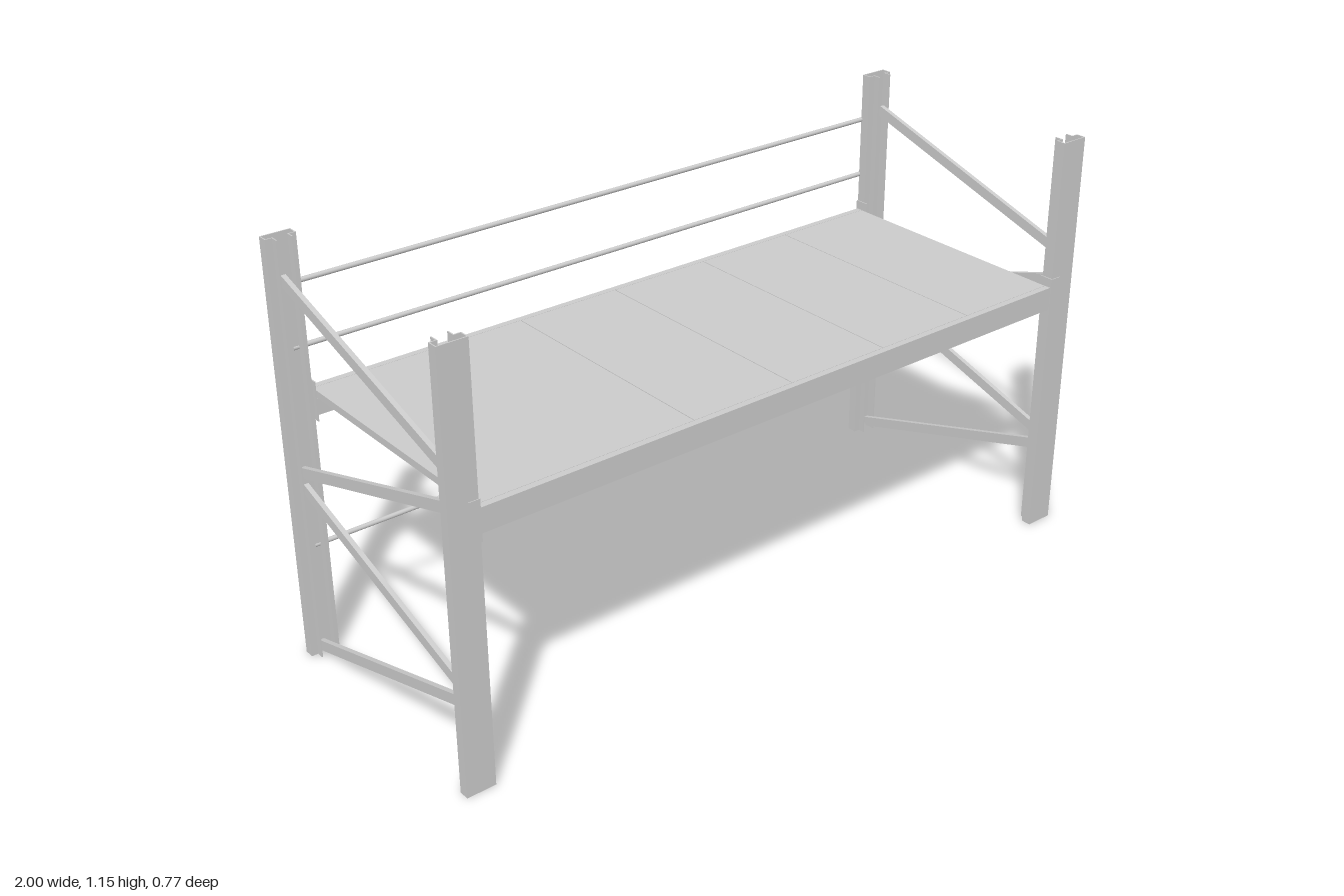
import * as THREE from 'three';

const material = new THREE.MeshStandardMaterial({ color: 0xcccccc, flatShading: true });
const roundMaterial = new THREE.MeshStandardMaterial({ color: 0xcccccc });

const POST_X = 0.96, HALF_Z = 0.378, HEIGHT = 1.155;

function add(parent, name, geometry, mat = material) {
  const mesh = new THREE.Mesh(geometry, mat);
  mesh.name = name;
  parent.add(mesh);
  return mesh;
}

function box(parent, name, x0, x1, y0, y1, z0, z1) {
  const mesh = add(parent, name, new THREE.BoxGeometry(x1 - x0, y1 - y0, z1 - z0));
  mesh.position.set((x0 + x1) / 2, (y0 + y1) / 2, (z0 + z1) / 2);
  return mesh;
}

// Folded sheet-metal upright: web outside, stepped flanges pointing into the rack
function postGeometry() {
  const t = 0.003;
  const outer = [[0.04, 0], [0.04, 0.028], [0.022, 0.028], [0.022, 0.048]];
  const inner = [[0.022 - t, 0.048], [0.022 - t, 0.028 - t], [0.04 - t, 0.028 - t], [0.04 - t, t]];
  const half = [...outer, ...inner];
  const mirrored = half.map(([x, d]) => [-x, d]).reverse();
  const points = [...half, ...mirrored].map(([x, d]) => new THREE.Vector2(x, d - HALF_Z));
  const geometry = new THREE.ExtrudeGeometry(new THREE.Shape(points), { depth: HEIGHT, bevelEnabled: false });
  return geometry.rotateX(-Math.PI / 2);
}

// Flat bar running from front to back between the posts of one end frame
function brace(parent, yFront, yBack) {
  const slope = (yBack - yFront) / 0.665;
  const mesh = add(parent, 'diagonalBrace', new THREE.BoxGeometry(0.013, 0.029, 0.695 * Math.hypot(1, slope)));
  mesh.position.y = (yFront + yBack) / 2;
  mesh.rotation.x = Math.atan(slope);
}

export function createModel() {
  const model = new THREE.Group();
  model.name = 'storageRack';
  const frame = new THREE.Group();
  frame.name = 'frame';
  frame.position.z = 0.003;
  model.add(frame);

  // End frames: two uprights joined by zigzag braces
  const post = postGeometry();
  for (const side of [-1, 1]) {
    const end = new THREE.Group();
    end.name = side > 0 ? 'leftEndFrame' : 'rightEndFrame';
    frame.add(end);
    for (const face of [-1, 1]) {
      const upright = add(end, face > 0 ? 'frontUpright' : 'backUpright', post);
      upright.position.x = side * POST_X;
      if (face < 0) upright.rotation.y = Math.PI;
    }
    const braces = new THREE.Group();
    braces.name = 'braces';
    braces.position.x = side * 0.967;
    end.add(braces);
    for (const [front, back] of [[0.84, 1.043], [0.745, 0.537], [0.277, 0.484], [0.234, 0.029]]) {
      brace(braces, front, back);
    }
  }

  // Stepped beams with angled hook plates at both ends
  for (const face of [-1, 1]) {
    const beam = new THREE.Group();
    beam.name = face > 0 ? 'frontBeam' : 'backBeam';
    if (face < 0) beam.rotation.y = Math.PI;
    frame.add(beam);
    const profile = [[0.376, 0.68], [0.376, 0.745], [0.358, 0.745], [0.358, 0.725], [0.336, 0.725], [0.336, 0.68]];
    const shape = new THREE.Shape(profile.map(([z, y]) => new THREE.Vector2(-z, y)));
    const bar = add(beam, 'beamBar', new THREE.ExtrudeGeometry(shape, { depth: 1.836, bevelEnabled: false }));
    bar.rotation.y = Math.PI / 2;
    bar.position.x = -0.918;
    for (const side of [-1, 1]) {
      const inside = box(beam, 'hookPlateSide', -0.0015, 0.0015, 0.662, 0.77, 0.337, 0.38);
      inside.position.x = side * 0.9185;
      const wrap = box(beam, 'hookPlateFace', -0.0145, 0.0145, 0.662, 0.77, 0.378, 0.38);
      wrap.position.x = side * 0.9335;
    }
  }

  // Deck panels separated by hairline gaps
  const seams = [-0.917, -0.307, 0, 0.307, 0.613, 0.917];
  for (let i = 0; i < seams.length - 1; i++) {
    box(frame, 'deckPanel', seams[i] + 0.001, seams[i + 1] - 0.001, 0.7255, 0.745, -0.357, 0.357);
  }

  // Round safety rails along the back
  for (const y of [0.3, 0.852, 1.02]) {
    const rail = add(model, 'backRail', new THREE.CylinderGeometry(0.0065, 0.0065, 1.89, 16), roundMaterial);
    rail.rotation.z = Math.PI / 2;
    rail.position.set(0, y, -0.3765);
  }
  return model;
}
